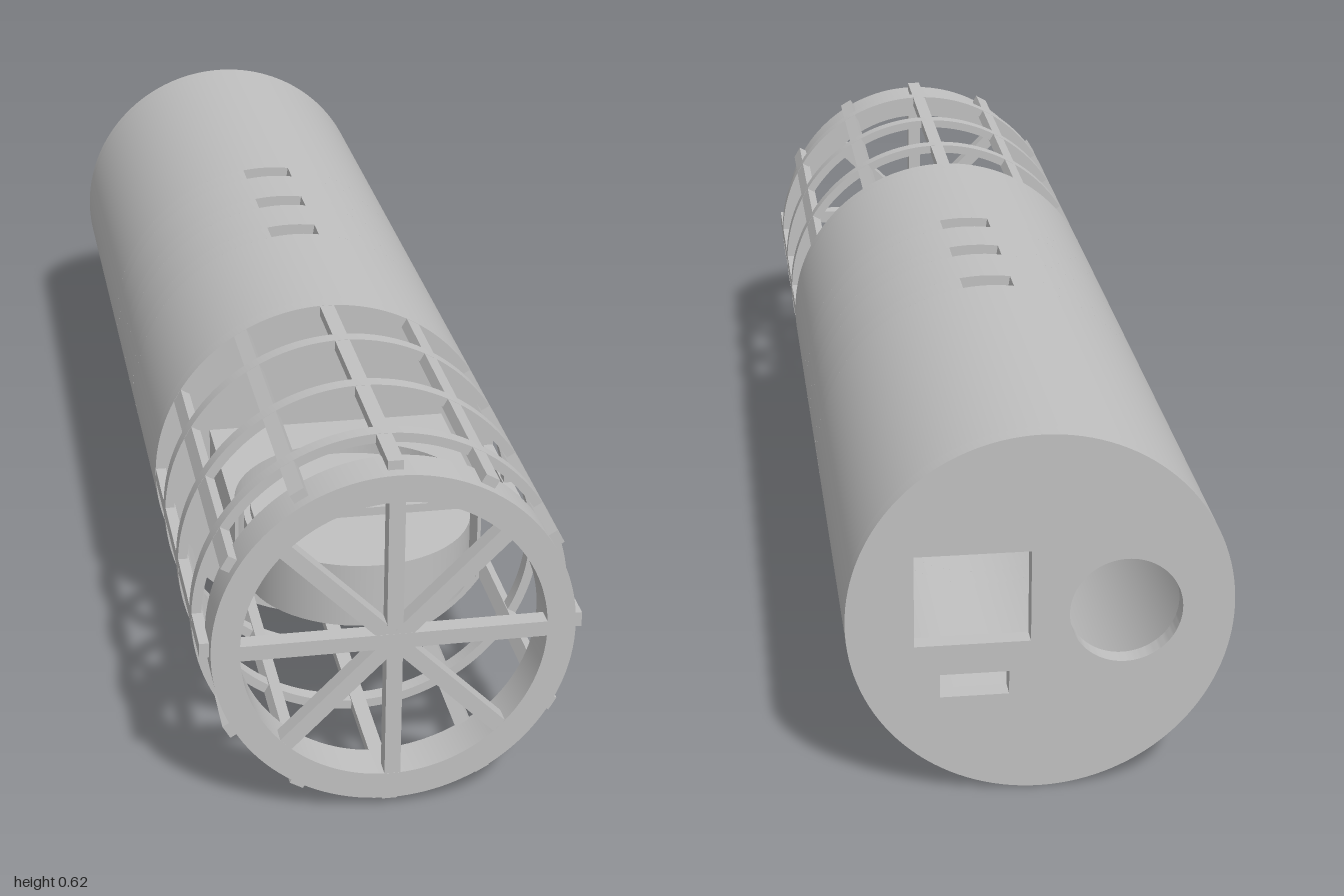
import * as THREE from 'three';
import { toCreasedNormals } from 'three/addons/utils/BufferGeometryUtils.js';

const R = 0.308; // outer radius, also the height of the axis

export function createModel() {
  const model = new THREE.Group();
  const grey = new THREE.MeshStandardMaterial({ color: 0xc0c0c0 });
  grey.name = 'plain grey';

  // Tube and cage share one axis along z
  const assembly = new THREE.Group();
  assembly.name = 'cylinderAssembly';
  assembly.position.y = R;
  model.add(assembly);

  const add = (name, geometry, parent = assembly) => {
    const mesh = new THREE.Mesh(geometry, grey);
    mesh.name = name;
    parent.add(mesh);
    return mesh;
  };
  const extrude = (shape, z0, z1) => {
    const g = new THREE.ExtrudeGeometry(shape, { depth: z1 - z0, bevelEnabled: false, curveSegments: 64 });
    return toCreasedNormals(g.translate(0, 0, z0), 0.5);
  };
  const disc = (r) => new THREE.Shape().absarc(0, 0, r, 0, Math.PI * 2, false);
  const circleHole = (x, y, r) => new THREE.Path().absarc(x, y, r, 0, Math.PI * 2, true);
  const rectHole = (x, y, w, h) => new THREE.Path([
    [x - w / 2, y - h / 2], [x - w / 2, y + h / 2], [x + w / 2, y + h / 2], [x + w / 2, y - h / 2],
  ].map(([a, b]) => new THREE.Vector2(a, b)));
  const ring = (outer, inner) => {
    const s = disc(outer);
    s.holes.push(circleHole(0, 0, inner));
    return s;
  };

  // Hollow body, with three slots along the top
  const inner = 0.28, gap = 0.147;
  const openRing = new THREE.Shape();
  const a0 = Math.PI / 2 + gap, a1 = Math.PI * 2.5 - gap;
  openRing.absarc(0, 0, R, a0, a1, false);
  openRing.absarc(0, 0, inner, a1, a0, true);
  openRing.closePath();
  let start = -0.97;
  for (const z of [-0.32, -0.155, 0]) {
    add('bodyTube', extrude(ring(R, inner), start, z - 0.025));
    add('slottedBodyTube', extrude(openRing, z - 0.025, z + 0.025));
    start = z + 0.025;
  }
  add('bodyTube', extrude(ring(R, inner), start, 0.34));
  add('frontWall', extrude(disc(R), 0.34, 0.37));

  // Rear wall with connector openings
  const rear = disc(R);
  rear.holes.push(
    rectHole(0.108, 0.034, 0.184, 0.156),
    rectHole(0.105, -0.116, 0.11, 0.04),
    circleHole(-0.135, 0, 0.09),
  );
  add('rearWall', extrude(rear, -1, -0.97));

  // Cage: hoops and lengthwise bars
  for (const z of [0.508, 0.692, 0.872]) add('cageHoop', extrude(ring(R, 0.292), z - 0.013, z + 0.013));
  for (let i = 0; i < 12; i++) {
    const a = (i * Math.PI) / 6;
    const bar = add('cageBar', new THREE.BoxGeometry(0.018, 0.025, 0.61));
    bar.position.set(Math.cos(a) * 0.2985, Math.sin(a) * 0.2985, 0.675);
    bar.rotation.z = a;
  }

  // Spoked end cap
  add('capRing', extrude(ring(0.292, 0.246), 0.93, 1));
  for (let i = 0; i < 4; i++) {
    const spoke = add('capSpokes', new THREE.BoxGeometry(0.496, 0.026, 0.03));
    spoke.position.z = 0.985 - i * 0.0002;
    spoke.rotation.z = (i * Math.PI) / 4;
  }

  // Holder block with a round seat, extruded vertically
  const upright = (shape, y0, y1) => extrude(shape, 0, y1 - y0).rotateX(Math.PI / 2).translate(0, y1, 0);
  const seat = new THREE.Shape();
  seat.moveTo(-0.21, 0.37).lineTo(0.21, 0.37).lineTo(0.21, 0.69).lineTo(0.204, 0.69).lineTo(0.204, 0.66);
  seat.absarc(0, 0.66, 0.204, 0, Math.PI, true);
  seat.lineTo(-0.204, 0.69).lineTo(-0.21, 0.69).closePath();
  add('holderBlock', upright(seat, 0.232, 0.39), model);

  // Seated drum with a raised hub
  const hub = new THREE.Shape();
  hub.moveTo(0.178, 0.69).lineTo(0.178, 0.66);
  hub.absarc(0, 0.66, 0.178, 0, Math.PI, true);
  hub.lineTo(-0.178, 0.69).closePath();
  add('drumHub', upright(hub, 0.24, 0.382), model);
  const drum = add('drum', new THREE.CylinderGeometry(0.19, 0.19, 0.111, 64), model);
  drum.position.set(0, 0.3115, 0.67);

  return model;
}
